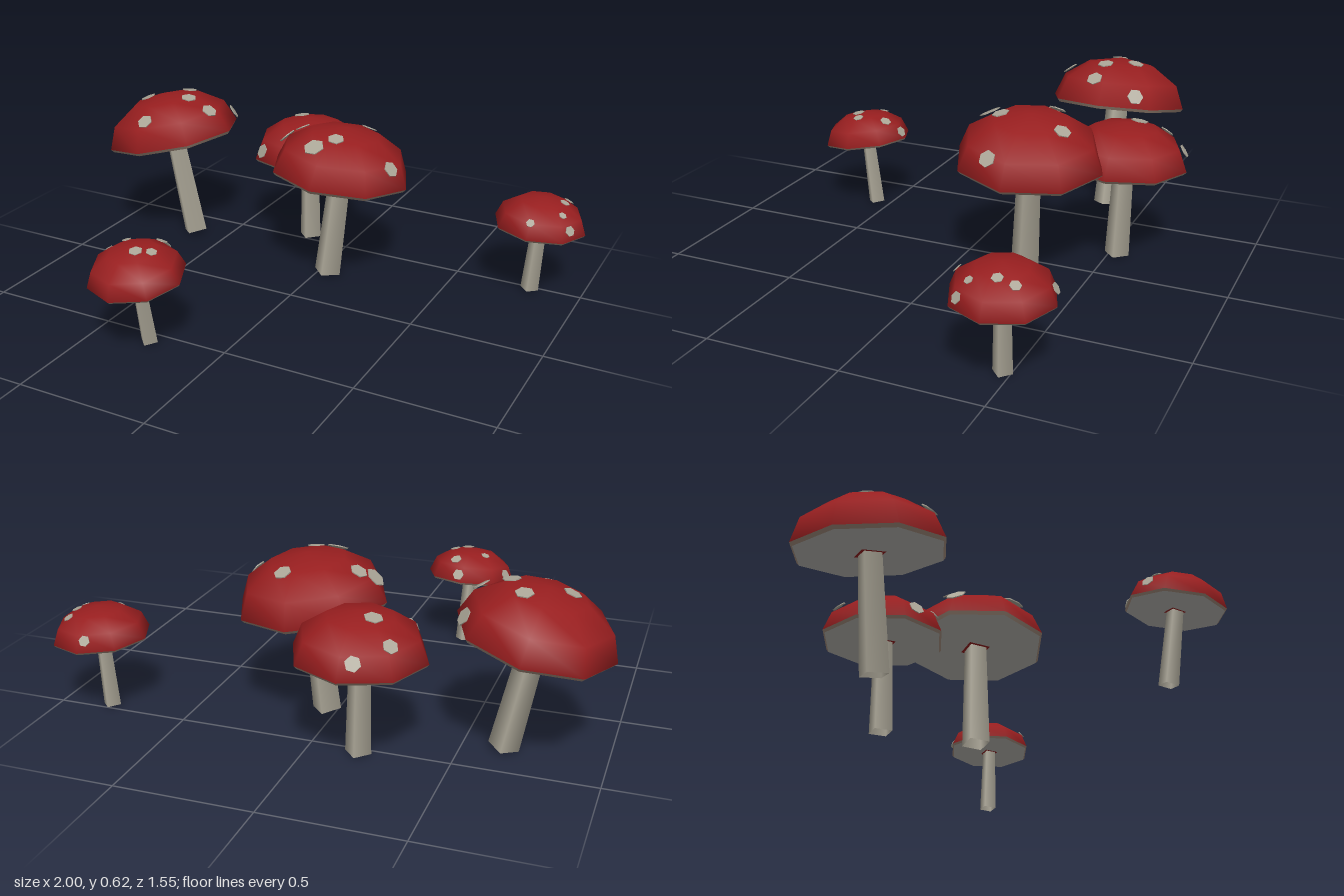
import * as THREE from 'three';

const red = new THREE.MeshStandardMaterial({ color: 0x981e1f });
red.name = 'cap red';
const pale = new THREE.MeshStandardMaterial({ color: 0xaca798, side: THREE.DoubleSide });
pale.name = 'stem grey';
const gill = new THREE.MeshStandardMaterial({ color: 0xbab8b3 });
gill.name = 'gill grey';
const tan = new THREE.MeshStandardMaterial({ color: 0xa28c7c });
tan.name = 'rim tan';

const R = 0.276, DOME = 0.182, STEM = 0.43, LIP = 0.012;
const UP = new THREE.Vector3(0, 1, 0);

// base: foot of the stem, lean: sideways part of the stem axis,
// spots: [x, z, size] on the cap as fractions of its radius
const mushrooms = [
  { name: 'leftTallMushroom', base: [-0.645, 0.02, -0.342], lean: [-0.21, 0], scale: 1,
    spots: [[0.25, -0.29, 1], [-0.255, 0.1, 1], [0.48, 0.1, 1], [0.82, 0.14, 1], [0.83, -0.49, 1], [0.09, 0.765, 1]] },
  { name: 'middleTallMushroom', base: [0.039, 0.015, -0.244], lean: [0.09, -0.06], scale: 1,
    spots: [[0.15, -0.48, 1], [-0.71, -0.1, 1], [-0.87, 0.04, 1.2], [0.04, 0.41, 1], [-0.165, 0.645, 1.25], [0.83, 0.25, 1]] },
  { name: 'backMushroom', base: [-0.182, 0.015, -0.533], lean: [-0.025, -0.02], scale: 0.86,
    spots: [[-0.23, -0.14, 1.2], [-0.59, -0.5, 1], [-0.2, -0.89, 1], [-0.52, 0.8, 1.1], [0.14, 0.84, 1]] },
  { name: 'frontSmallMushroom', base: [-0.277, 0.015, 0.558], lean: [-0.04, 0.14], scale: 0.64,
    spots: [[0.09, -0.96, 1.1], [0.24, -0.67, 1.1], [-0.36, -0.33, 0.85], [-0.88, -0.36, 1.1], [0.15, 0.08, 1.2], [0.42, -0.06, 1]] },
  { name: 'rightSmallMushroom', base: [0.804, 0.015, -0.475], lean: [0.06, -0.015], scale: 0.64,
    spots: [[-0.17, -0.91, 1], [0.45, -0.42, 0.95], [0.44, -0.09, 0.95], [0.54, 0.39, 0.75], [0.77, 0.52, 1], [0, 0.85, 0.8]] },
];

function add(group, name, geometry, material, y = 0) {
  const mesh = new THREE.Mesh(geometry, material);
  mesh.name = name;
  mesh.position.y = y;
  group.add(mesh);
  return mesh;
}

function buildMushroom({ name, base, lean, scale, spots }) {
  const g = new THREE.Group();
  g.name = name;

  // tapered four-sided stem, softly shaded and open at the foot
  add(g, 'stem', new THREE.CylinderGeometry(0.045, 0.055, STEM, 4, 1, true), pale, STEM / 2);

  // eight-sided dome, thin tan lip and flat underside
  const dome = new THREE.SphereGeometry(R, 8, 3, 0, Math.PI * 2, 0, Math.PI / 2);
  dome.scale(1, DOME / R, 1);
  add(g, 'cap', dome, red, STEM);
  add(g, 'capLip', new THREE.CylinderGeometry(R, R * 0.965, LIP, 8, 1, true), tan, STEM - LIP / 2);
  const under = new THREE.CircleGeometry(R * 0.965, 8);
  under.rotateX(Math.PI / 2);
  add(g, 'capUnderside', under, gill, STEM - LIP);

  // narrow red collar where the stem meets the cap
  const collar = new THREE.CircleGeometry(0.06, 4);
  collar.rotateX(Math.PI / 2);
  add(g, 'stemCollar', collar, red, STEM - LIP - 0.003);

  // hexagonal spots lying on the dome
  for (const [x, z, size] of spots) {
    const h = Math.sqrt(Math.max(0, 1 - x * x - z * z));
    const disc = new THREE.CylinderGeometry(0.032 * size, 0.032 * size, 0.004, 6);
    disc.rotateY(Math.PI / 6);
    const spot = add(g, 'spot', disc, pale);
    spot.position.set(x * R, STEM + h * DOME, z * R);
    const normal = new THREE.Vector3(x / R, h / DOME, z / R).normalize();
    spot.quaternion.setFromUnitVectors(UP, normal);
  }

  const axis = new THREE.Vector3(lean[0], Math.sqrt(1 - lean[0] ** 2 - lean[1] ** 2), lean[1]);
  g.quaternion.setFromUnitVectors(UP, axis);
  g.position.set(...base);
  g.scale.setScalar(scale);
  return g;
}

export function createModel() {
  const model = new THREE.Group();
  model.name = 'mushroomCluster';
  for (const m of mushrooms) model.add(buildMushroom(m));
  return model;
}
